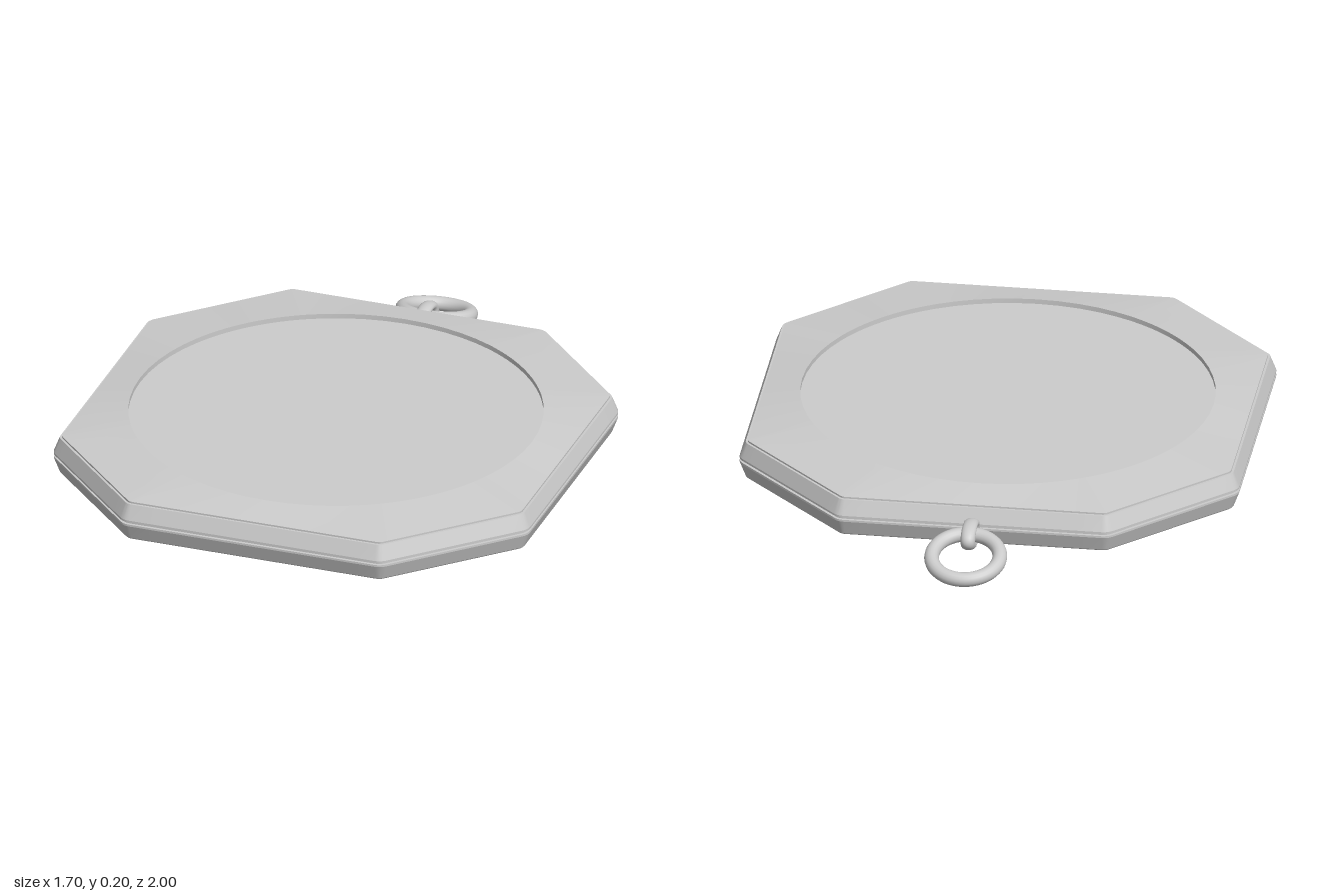
import * as THREE from 'three';
import { toCreasedNormals } from 'three/addons/utils/BufferGeometryUtils.js';

const CENTRE_Z = 0.15;
const FACE_RADIUS = 0.7;

// Rounded, chamfered square outline, moved inwards by inset
function octagon(inset) {
  const r = 0.05 - inset * 0.8, arcSteps = 4, edgeSteps = 10, pts = [];
  const support = k => (k % 2 ? 0.926 : 0.85) - inset - r;
  for (let k = 0; k < 8; k++) {
    const a = k * Math.PI / 4, b = a + Math.PI / 4;
    const h = support(k), along = (support(k + 1) - h * Math.SQRT1_2) / Math.SQRT1_2;
    const cx = h * Math.cos(a) - along * Math.sin(a);
    const cz = h * Math.sin(a) + along * Math.cos(a);
    for (let i = 0; i <= arcSteps; i++) {
      const t = a + (b - a) * i / arcSteps;
      pts.push(new THREE.Vector2(cx + r * Math.cos(t), cz + r * Math.sin(t)));
    }
  }
  // subdivide the straight edges so they can blend into a circle
  const out = [];
  pts.forEach((p, i) => {
    out.push(p);
    if (i % (arcSteps + 1) === arcSteps) {
      const q = pts[(i + 1) % pts.length];
      for (let j = 1; j < edgeSteps; j++) out.push(p.clone().lerp(q, j / edgeSteps));
    }
  });
  return out;
}

const ring = (pts, y, s = 1) => pts.map(p => new THREE.Vector3(p.x * s, y, p.y * s));

// Skin consecutive rings, from the bottom centre around to the top
function loft(rings) {
  const pos = [];
  const tri = (...v) => v.forEach(p => pos.push(p.x, p.y, p.z));
  for (let k = 0; k < rings.length - 1; k++) {
    const lo = rings[k], hi = rings[k + 1], n = lo.length;
    for (let i = 0; i < n; i++) {
      const j = (i + 1) % n;
      if (lo[i].distanceTo(lo[j]) > 1e-6) tri(lo[i], hi[i], lo[j]);
      tri(lo[j], hi[i], hi[j]);
    }
  }
  const geo = new THREE.BufferGeometry();
  geo.setAttribute('position', new THREE.Float32BufferAttribute(pos, 3));
  return toCreasedNormals(geo, 0.3);
}

export function createModel() {
  const group = new THREE.Group();
  const material = new THREE.MeshStandardMaterial({ color: 0xcccccc });
  const add = (name, geo, x, y, z) => {
    const mesh = new THREE.Mesh(geo, material);
    mesh.name = name;
    mesh.position.set(x, y, z);
    group.add(mesh);
    return mesh;
  };

  // Lower shell: shallow domed back and flared side
  const back = octagon(0.025);
  const lower = [];
  for (let i = 0; i <= 8; i++) lower.push(ring(back, 0.045 * (i / 8) ** 2, i / 8));
  lower.push(ring(octagon(0.02), 0.05), ring(octagon(0), 0.103),
    ring(octagon(0), 0.11), ring(octagon(0.01), 0.11), ring(octagon(0.01), 0.118));
  add('lowerShell', loft(lower), 0, 0, CENTRE_Z);

  // Upper shell: side, small step, bezel rising to a round opening
  const edge = octagon(0.028);
  const circle = edge.map(p => p.clone().setLength(FACE_RADIUS));
  add('upperShell', loft([
    ring(octagon(0.01), 0.118), ring(octagon(0), 0.118), ring(octagon(0), 0.125),
    ring(octagon(0.02), 0.177), ring(edge, 0.177), ring(edge, 0.183),
    ring(circle, 0.205), ring(circle, 0.187),
  ]), 0, 0, CENTRE_Z);

  // Recessed round face
  add('face', new THREE.CircleGeometry(FACE_RADIUS, 112).rotateX(-Math.PI / 2), 0, 0.188, CENTRE_Z);

  // Fixed eyelet standing upright at the back edge
  const eyelet = new THREE.TorusGeometry(0.057, 0.025, 16, 40);
  eyelet.scale(1, 0.56, 1).rotateY(Math.PI / 2);
  add('eyelet', eyelet, 0, 0.115, -0.755);

  // Hanging ring, drooping backwards
  const hoop = add('hangingRing', new THREE.TorusGeometry(0.115, 0.025, 16, 56).rotateX(Math.PI / 2),
    0, 0.083, -0.864);
  hoop.rotation.x = -0.27;

  return group;
}
